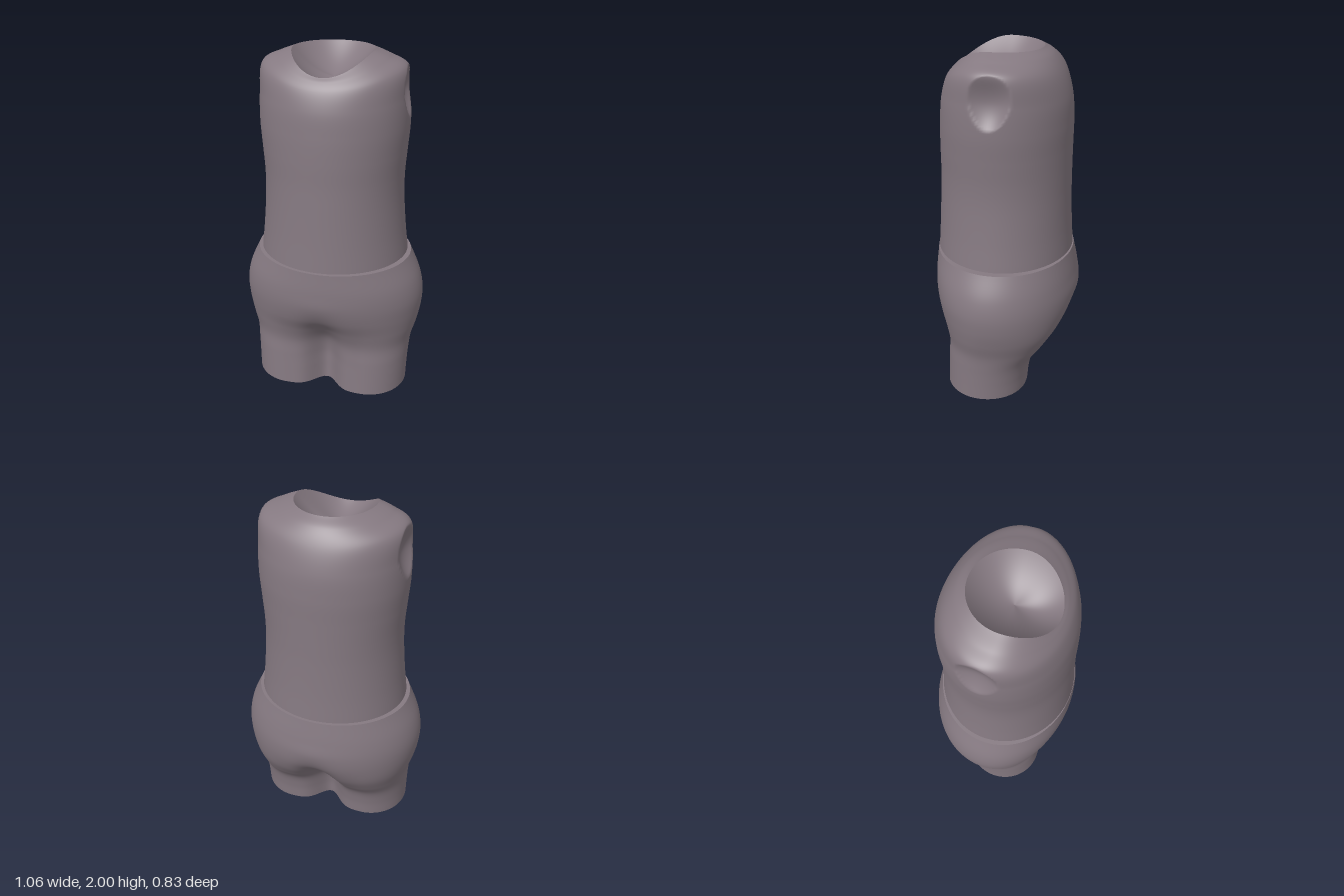
import * as THREE from 'three';

const SEG = 160;

// Skin a stack of closed rings (arrays of Vector3); normals follow ring order
function skin(rings) {
  const pos = [], idx = [];
  for (const ring of rings) for (const p of ring) pos.push(p.x, p.y, p.z);
  for (let i = 0; i < rings.length - 1; i++) {
    for (let j = 0; j < SEG; j++) {
      const k = (j + 1) % SEG;
      const a = i * SEG + j, b = i * SEG + k, c = a + SEG, d = b + SEG;
      idx.push(a, b, d, a, d, c);
    }
  }
  const g = new THREE.BufferGeometry();
  g.setAttribute('position', new THREE.Float32BufferAttribute(pos, 3));
  g.setIndex(idx);
  g.computeVertexNormals();
  return g;
}

// Ring with half width w, front f, back b, mid line zc, heights at front / side / back
// legs (0..1) pinches the oval into two joined thighs
function makeRing({ w, f, b, zc, yF, yS = yF, yB = yF, legs = 0 }) {
  return Array.from({ length: SEG }, (_, j) => {
    const t = (j / SEG) * Math.PI * 2;
    const u = Math.sin(t), c = Math.cos(t), m = Math.abs(u);
    const v = Math.max(0, (m - 0.5) / 0.5);
    const thigh = Math.sqrt(Math.max(0, 1 - v * v)) - 0.5 * Math.exp(-((u / 0.2) ** 2));
    const h = THREE.MathUtils.lerp(Math.abs(c), thigh, legs);
    const z = c >= 0 ? zc + h * (f - zc) : zc - h * (zc - b);
    const y = yS + ((c >= 0 ? yF : yB) - yS) * c * c;
    return new THREE.Vector3(w * u, y, z);
  });
}

// Smooth the stack along its height, one curve per angle
function refine(rings, rows) {
  const curves = Array.from({ length: SEG }, (_, j) =>
    new THREE.CatmullRomCurve3(rings.map(r => r[j]), false, 'centripetal'));
  return Array.from({ length: rows + 1 }, (_, i) => curves.map(c => c.getPoint(i / rows)));
}

// Flat cap closing a ring
function cap(ring, zc, up) {
  const centre = ring.map(p => new THREE.Vector3(0, p.y, zc));
  return skin(up ? [ring, centre] : [centre, ring]);
}

export function createModel() {
  const model = new THREE.Group();
  model.name = 'torso';
  const material = new THREE.MeshStandardMaterial({ color: 0x857981 });
  material.name = 'mauve grey';
  const add = (name, geometry) => {
    const mesh = new THREE.Mesh(geometry, material);
    mesh.name = name;
    model.add(mesh);
  };

  // Upper body: y, half width, front, back
  const chest = [
    [0.845, 0.428, 0.405, -0.372],
    [1.0, 0.41, 0.395, -0.362],
    [1.2, 0.395, 0.385, -0.355],
    [1.32, 0.395, 0.38, -0.354],
    [1.46, 0.405, 0.378, -0.354],
    [1.6, 0.415, 0.372, -0.354],
  ].map(([yF, w, f, b]) => makeRing({ w, f, b, zc: 0.01, yF }));

  // Shoulders rise to a tilted neck rim
  const shoulders = [
    { w: 0.412, f: 0.358, b: -0.342, zc: 0.01, yF: 1.73, yS: 1.76, yB: 1.74 },
    { w: 0.395, f: 0.325, b: -0.3, zc: 0.01, yF: 1.83, yS: 1.912, yB: 1.87 },
    { w: 0.305, f: 0.295, b: -0.245, zc: 0.03, yF: 1.872, yS: 1.962, yB: 1.95 },
    { w: 0.22, f: 0.275, b: -0.19, zc: 0.04, yF: 1.89, yS: 1.995, yB: 1.99 },
  ].map(makeRing);
  const upper = refine([...chest, ...shoulders], 135);

  // Arm sockets: oval dishes pressed into both sides
  for (const p of upper.flat()) {
    if (Math.abs(p.x) < 0.3) continue;
    const dy = (p.y - 1.78) / 0.14;
    const r2 = dy * dy + ((p.z + 0.01) / (0.11 + 0.018 * dy)) ** 2;
    if (r2 < 1) p.x -= Math.sign(p.x) * 0.05 * (1 - r2);
  }
  add('upperBody', skin(upper));
  add('upperBodyBase', cap(upper[0], 0.01, false));

  // Neck socket: rounded bowl inside the rim
  const rim = upper[upper.length - 1];
  const bottom = new THREE.Vector3(0, 1.955, 0.04);
  const bowl = Array.from({ length: 25 }, (_, i) => {
    const s = 1 - i / 24;
    return rim.map(p => {
      const q = bottom.clone().lerp(p, s);
      q.y -= 0.11 * (1 - s * s);
      return q;
    });
  });
  add('neckSocket', skin(bowl));

  // Hips and thighs: y, half width, front, back, mid line, thigh split
  const hips = [
    [0, 0.46, 0.305, -0.17, 0.07, 1],
    [0.1, 0.463, 0.3, -0.18, 0.065, 1],
    [0.2, 0.468, 0.297, -0.207, 0.055, 0.95],
    [0.3, 0.478, 0.302, -0.285, 0.04, 0.72],
    [0.4, 0.505, 0.338, -0.36, 0.03, 0.38],
    [0.5, 0.525, 0.385, -0.403, 0.02, 0.1],
    [0.6, 0.53, 0.41, -0.415, 0.02, 0],
    [0.7, 0.51, 0.415, -0.403, 0.02, 0],
    [0.835, 0.45, 0.407, -0.377, 0.015, 0],
  ].map(([yF, w, f, b, zc, legs]) => makeRing({ w, f, b, zc, yF, legs }));
  const lower = refine(hips, 64);
  add('hipsAndThighs', skin(lower));
  add('waistTop', cap(lower[lower.length - 1], 0.015, true));
  add('thighBase', cap(lower[0], 0.07, false));

  return model;
}
